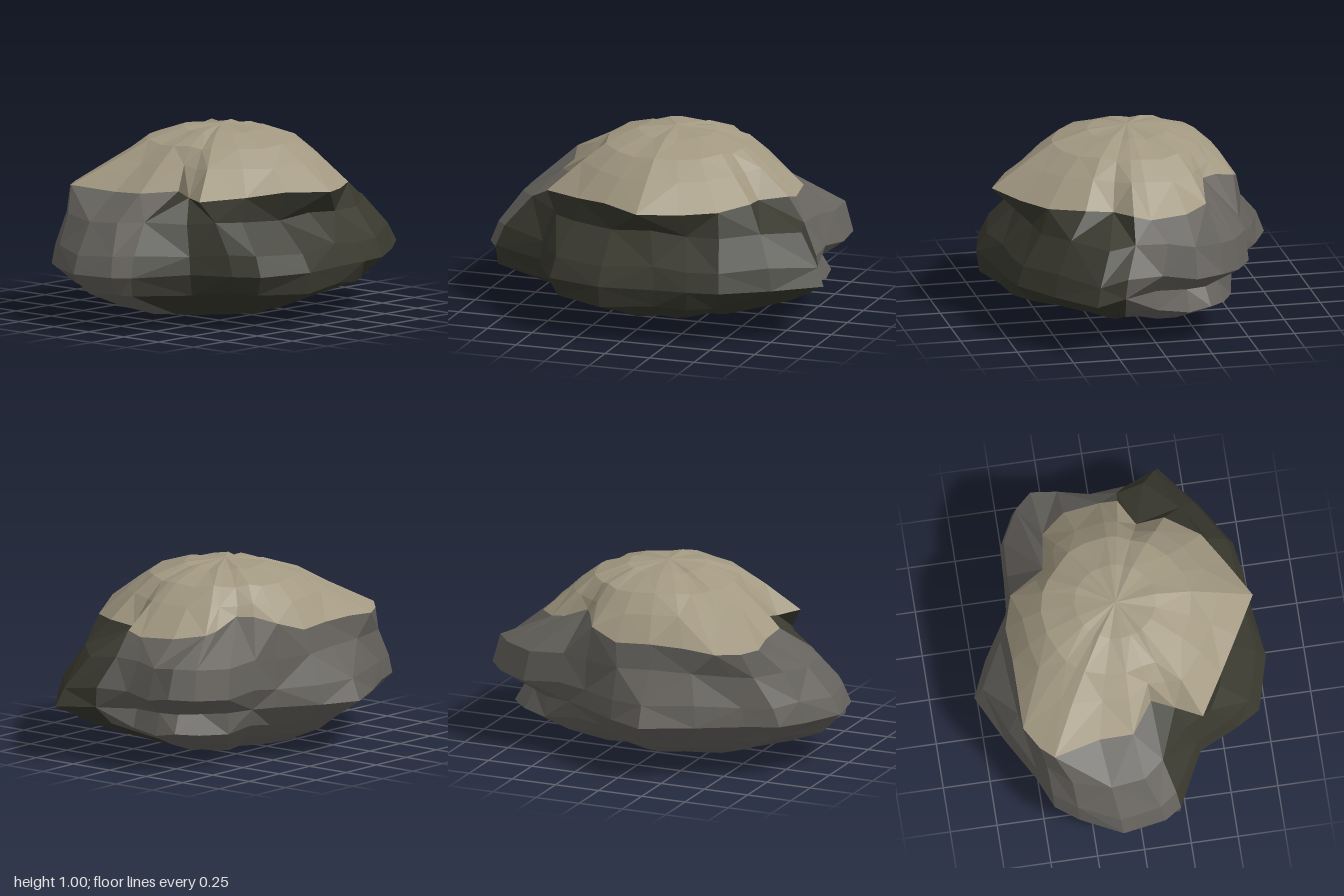
import * as THREE from 'three';

// Matching plan outlines (x, z), running from the back round by +x
const base = [
  [-0.13, -0.78], [0.07, -0.69], [0.28, -0.55], [0.45, -0.54], [0.66, -0.53], [0.83, -0.44], [0.93, -0.33],
  [0.93, -0.19], [0.89, 0], [0.92, 0.2], [1, 0.37], [0.77, 0.55], [0.53, 0.7], [0.36, 0.73], [0.18, 0.74],
  [-0.12, 0.78], [-0.42, 0.7], [-0.5, 0.57], [-0.6, 0.36], [-0.9, 0.21], [-0.96, 0.12], [-1, -0.11],
  [-0.89, -0.33], [-0.8, -0.45], [-0.63, -0.52], [-0.4, -0.65]];
const shoulder = [
  [-0.12, -0.6], [0.07, -0.61], [0.28, -0.54], [0.42, -0.52], [0.62, -0.51], [0.79, -0.42], [0.87, -0.33],
  [0.86, -0.19], [0.82, -0.05], [0.8, 0.12], [0.84, 0.27], [0.67, 0.44], [0.48, 0.56], [0.3, 0.57], [0.1, 0.57],
  [-0.12, 0.56], [-0.35, 0.5], [-0.48, 0.43], [-0.55, 0.29], [-0.72, 0.14], [-0.81, 0.03], [-0.83, -0.15],
  [-0.78, -0.35], [-0.66, -0.47], [-0.55, -0.51], [-0.35, -0.58]];
const rim = [
  [-0.1, -0.57], [0.09, -0.58], [0.25, -0.53], [0.31, -0.42], [0.36, -0.34], [0.5, -0.32], [0.58, -0.31],
  [0.69, -0.18], [0.72, 0.02], [0.71, 0.11], [0.57, 0.19], [0.58, 0.34], [0.46, 0.52], [0.28, 0.63], [0.08, 0.74],
  [-0.14, 0.62], [-0.33, 0.51], [-0.55, 0.38], [-0.48, 0.24], [-0.43, 0.12], [-0.6, 0], [-0.6, -0.18],
  [-0.67, -0.43], [-0.6, -0.5], [-0.48, -0.57], [-0.3, -0.57]];
const N = base.length;
const FRONT_START = 9, FRONT_END = 19;

// Local changes by spoke: undercut below the back lobe, tucked foot, rim height
const notch = { 3: 0.9, 4: 0.84, 5: 0.8, 6: 0.81, 7: 0.84, 8: 0.87, 9: 0.96 };
const tuck = { 9: 0.92, 10: 0.84, 11: 0.86, 12: 0.9, 13: 0.96, 16: 0.96, 17: 0.93, 19: 1.07 };
const rimHeight = { 2: 0.74, 3: 0.77, 4: 0.77, 5: 0.71, 8: 0.67, 14: 0.7, 15: 0.71, 17: 0.68 };

const lerp = THREE.MathUtils.lerp;
const wobble = (i, size) => size * Math.sin(i * 2.3 + 1);
const ring = (rule) => Array.from({ length: N }, (_, i) => new THREE.Vector3(...rule(i)));

// Lower ring: the base outline drawn in; tilt draws the back in further
const lowRing = (y, s, tilt, lift) => ring((i) => {
  const [x, z] = base[i];
  const k = (s + tilt * z) * (tuck[i] ?? 1);
  return [x * k, y + wobble(i, lift), z * k];
});

// Dome ring: the rim shrunk and rounded towards a circle
const domeRing = (y, s, round) => ring((i) => {
  const [x, z] = rim[i];
  const r = Math.hypot(x - 0.05, z);
  const f = lerp(r, 0.6, round) / r * s;
  return [0.05 + (x - 0.05) * f * 0.96, y + wobble(i, 0.008), z * f];
});

// Faceted skin between successive rings, kept only where the test passes
function skin(rings, keep = () => true) {
  const pos = [];
  const tri = (a, b, c) => {
    const area = b.clone().sub(a).cross(c.clone().sub(a)).length();
    if (area > 1e-7) for (const p of [a, b, c]) pos.push(p.x, p.y, p.z);
  };
  for (let k = 0; k < rings.length - 1; k++) {
    for (let i = 0; i < N; i++) {
      if (!keep(i)) continue;
      const j = (i + 1) % N;
      const a = rings[k][i], b = rings[k][j], c = rings[k + 1][j], d = rings[k + 1][i];
      if ((i + k) % 2) { tri(b, a, d); tri(b, d, c); } else { tri(a, d, c); tri(a, c, b); }
    }
  }
  const g = new THREE.BufferGeometry();
  g.setAttribute('position', new THREE.Float32BufferAttribute(pos, 3));
  g.computeVertexNormals();
  return g;
}

function material(name, color) {
  const m = new THREE.MeshStandardMaterial({ color, flatShading: true });
  m.name = name;
  return m;
}

export function createModel() {
  const group = new THREE.Group();
  group.name = 'boulder';
  const add = (name, geometry, mat) => {
    const mesh = new THREE.Mesh(geometry, mat);
    mesh.name = name;
    group.add(mesh);
  };

  const rimRing = ring((i) => [rim[i][0], rimHeight[i] ?? 0.69 + wobble(i, 0.01), rim[i][1]]);
  const bodyRings = [
    ring(() => [0.03, 0, 0.04]),
    lowRing(0, 0.23, 0, 0),
    lowRing(0.03, 0.44, 0, 0.008),
    lowRing(0.11, 0.69, 0, 0.012),
    lowRing(0.19, 0.9, 0.1, 0.012),
    ring((i) => [base[i][0] * (notch[i] ?? 1), 0.295, base[i][1] * (notch[i] ?? 1)]),
    ring((i) => [lerp(base[i][0], shoulder[i][0], 0.25), 0.4 + wobble(i, 0.012), lerp(base[i][1], shoulder[i][1], 0.25)]),
    ring((i) => [shoulder[i][0], 0.56 + wobble(i, 0.01), shoulder[i][1]]),
    rimRing];
  const isFront = (i) => i >= FRONT_START && i < FRONT_END;

  // Stone body, with a darker front face
  add('frontStone', skin(bodyRings, isFront), material('dark olive stone', 0x39392f));
  add('backStone', skin(bodyRings, (i) => !isFront(i)), material('grey stone', 0x65625d));

  // Pale cap whose pointed rim overhangs the body
  const capRings = [
    rimRing,
    domeRing(0.825, 0.83, 0.55),
    domeRing(0.915, 0.66, 0.85),
    domeRing(0.975, 0.36, 1),
    ring(() => [0.04, 0.995, 0])];
  add('cap', skin(capRings), material('pale tan stone', 0xa39982));
  return group;
}
